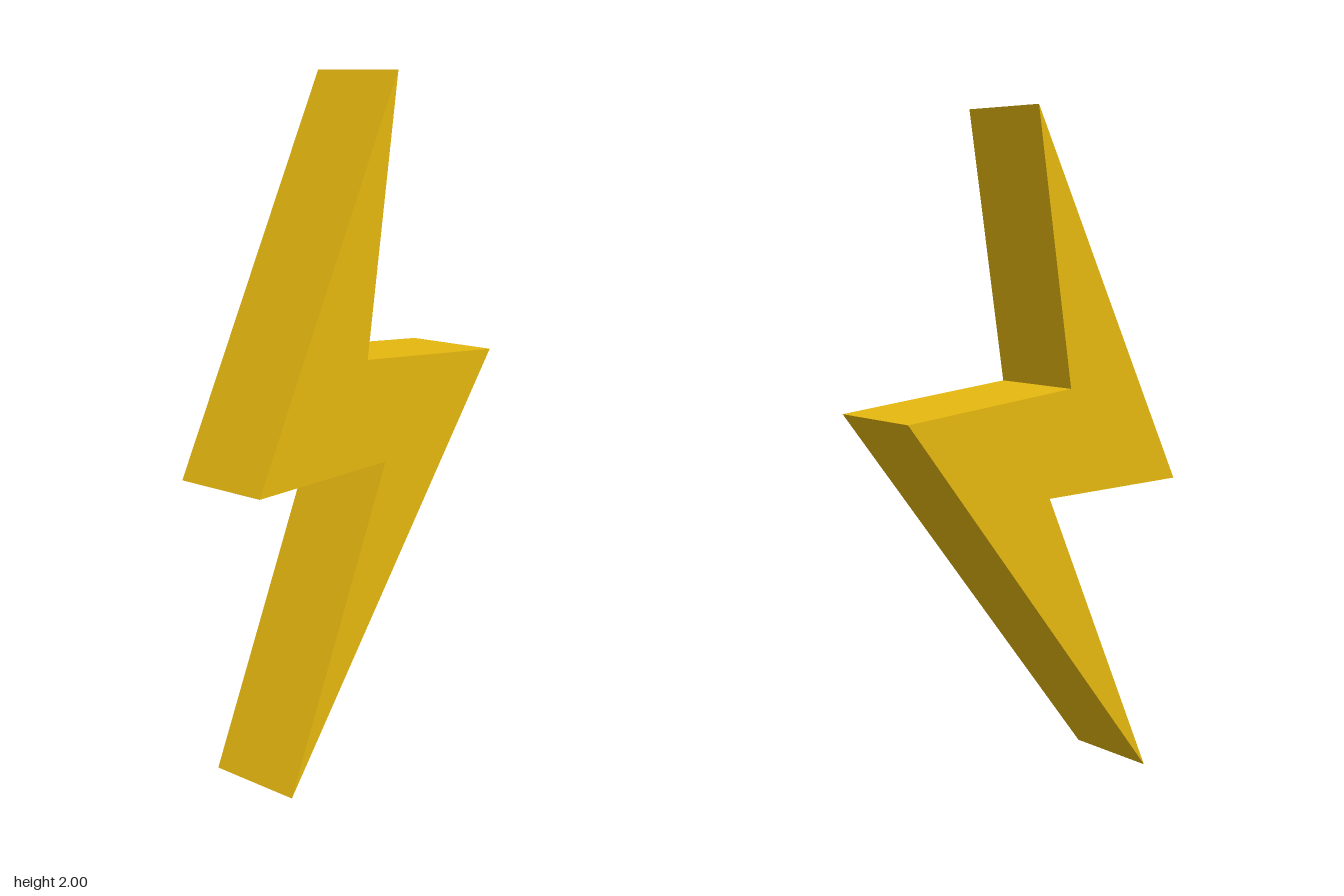
import * as THREE from 'three';

export function createModel() {
  const group = new THREE.Group();
  group.name = 'lightningBolt';

  // Zigzag outline, counter-clockwise from the top tip
  const outline = [
    [0.053, 2], [-0.514, 0.9], [0.008, 0.9],
    [-0.4, 0], [0.514, 1.16], [-0.074, 1.21],
  ].map(([x, y]) => new THREE.Vector2(x, y));

  // Flat slab with sharp edges, centred in depth
  const depth = 0.295;
  const geometry = new THREE.ExtrudeGeometry(new THREE.Shape(outline), { depth, bevelEnabled: false });
  geometry.translate(0, 0, -depth / 2);

  const bolt = new THREE.Mesh(geometry, new THREE.MeshStandardMaterial({ color: 0xe6b80f }));
  bolt.name = 'bolt';
  group.add(bolt);
  return group;
}
